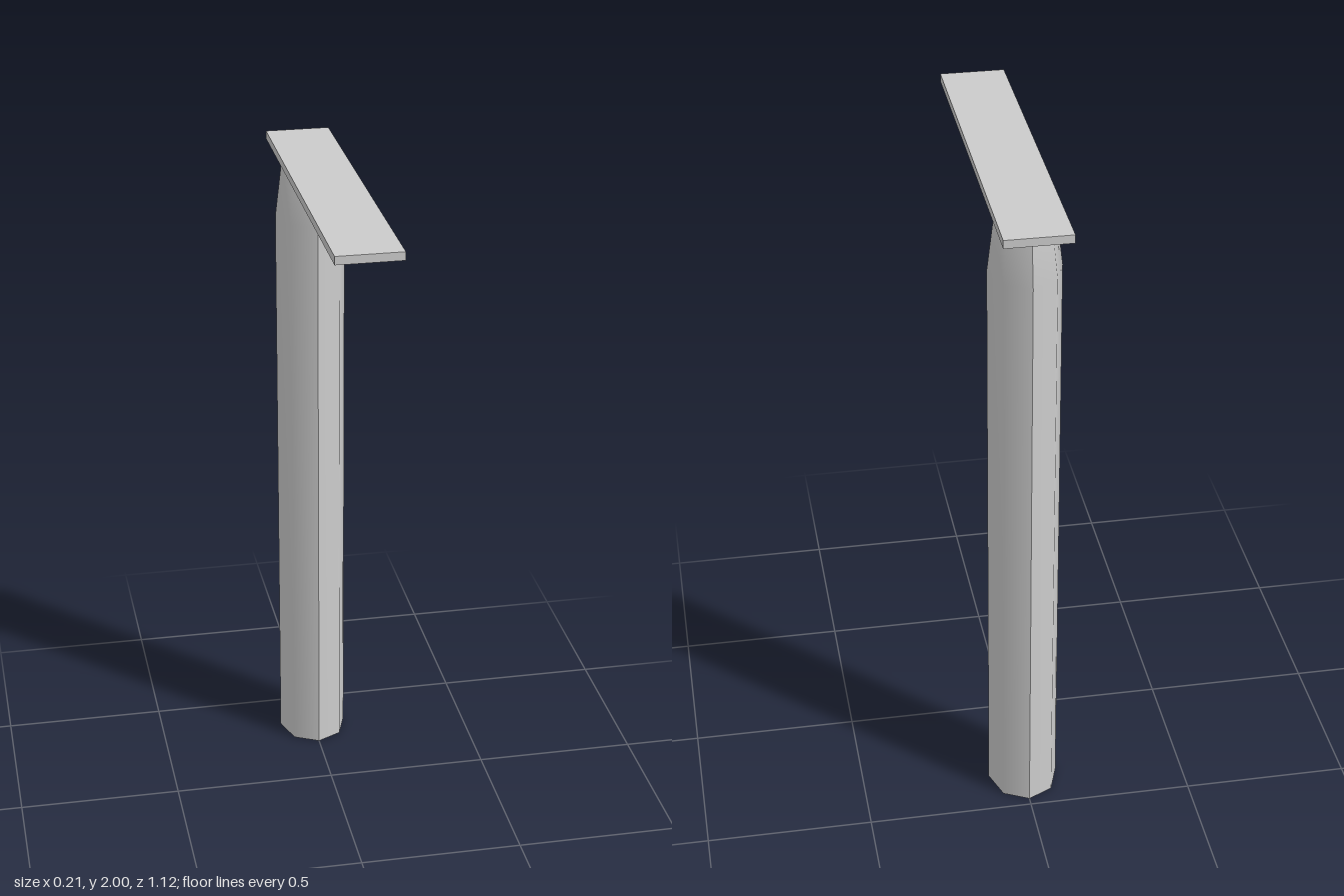
import * as THREE from 'three';

export function createModel() {
  const model = new THREE.Group();
  const grey = new THREE.MeshStandardMaterial({ color: 0xcccccc });
  const shell = new THREE.MeshStandardMaterial({ color: 0xcccccc, side: THREE.DoubleSide });

  // Hollow eight-sided oval post, tapered at the top: two smooth halves
  // meeting in a sharp seam at the front and back
  const profile = [[0.107, 0], [0.107, 1.8], [0.086, 1.975]].map(([r, y]) => new THREE.Vector2(r, y));
  const post = new THREE.Group();
  post.name = 'post';
  post.position.z = -0.344;
  [['leftPostHalf', 0], ['rightPostHalf', Math.PI]].forEach(([name, start]) => {
    const geometry = new THREE.LatheGeometry(profile, 4, start, Math.PI);
    geometry.scale(1, 1, 0.13 / 0.107);
    geometry.computeVertexNormals();
    const half = new THREE.Mesh(geometry, shell);
    half.name = name;
    post.add(half);
  });
  model.add(post);

  // Long flat board resting on the post, reaching forward
  const board = new THREE.Mesh(new THREE.BoxGeometry(0.195, 0.025, 1.116), grey);
  board.name = 'topBoard';
  board.position.y = 1.9875;
  model.add(board);

  return model;
}
